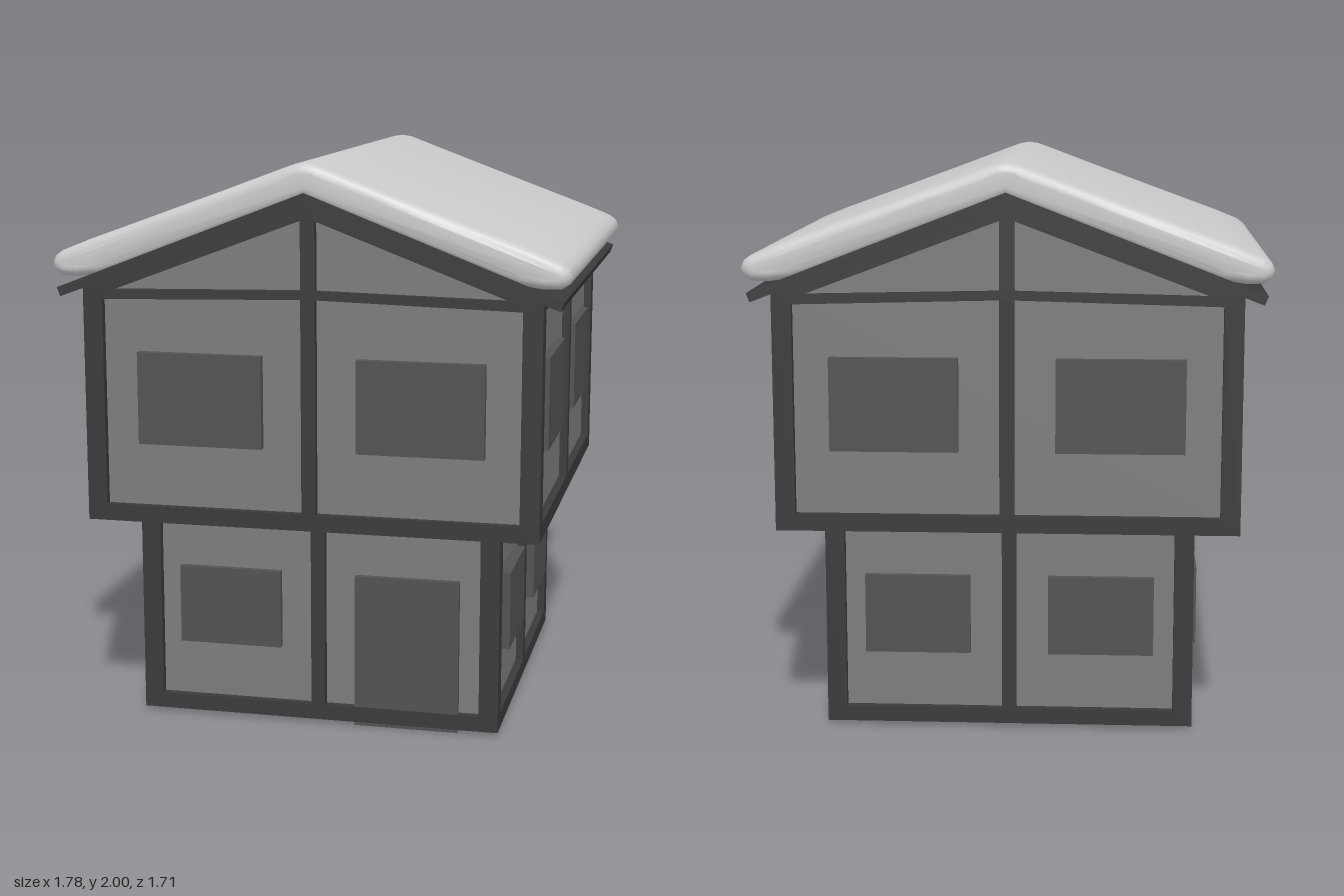
import * as THREE from 'three';
import { toCreasedNormals } from 'three/addons/utils/BufferGeometryUtils.js';

const mat = (color) => new THREE.MeshStandardMaterial({ color });
const SNOW = mat(0xcccccc);
const WALL = mat(0x7c7c7c);
const BEAM = mat(0x3a3a3a);
const PANE = mat(0x525252);

const T = 0.028; // depth of the timber in front of the plaster

function add(parent, name, geometry, material, x = 0, y = 0, z = 0) {
  const mesh = new THREE.Mesh(geometry, material);
  mesh.name = name;
  mesh.position.set(x, y, z);
  parent.add(mesh);
  return mesh;
}

const box = (w, h, d) => new THREE.BoxGeometry(w, h, d);
const vecs = (pts) => pts.map(([x, y]) => new THREE.Vector2(x, y));
const mirror = (pts) => pts.map(([x, y]) => [-x, y]).reverse();
const rect = (x0, x1, y0, y1) => [[x0, y0], [x1, y0], [x1, y1], [x0, y1]];

// Flat plate with holes, from z = 0 to z = depth
function plate(outline, holes, depth) {
  const shape = new THREE.Shape(vecs(outline));
  holes.forEach((h) => shape.holes.push(new THREE.Path(vecs(h))));
  return new THREE.ExtrudeGeometry(shape, { depth, bevelEnabled: false });
}

// One side of a storey: timber frame and its two panes or a pane and a door
function addSide(parent, name, turn, dist, outline, holes, panes) {
  const side = new THREE.Group();
  side.name = name;
  side.rotation.y = turn * Math.PI / 2;
  parent.add(side);
  add(side, 'timberFrame', plate(outline, holes, T), BEAM, 0, 0, dist - T);
  for (const p of panes) {
    const back = dist - T - 0.01;
    const depth = dist + p.out - back;
    add(side, p.name, box(p.w, p.h, depth), PANE, p.x, p.y, back + depth / 2);
  }
}

const SIDES = ['front', 'left', 'back', 'right'];

function lowerStorey() {
  const g = new THREE.Group();
  g.name = 'lowerStorey';
  const hx = 0.645, hz = 0.67, y0 = 0.015, y1 = 0.76;
  add(g, 'plasterWalls', box(2 * (hx - T), y1 - 0.03, 2 * (hz - T)), WALL, 0, (y1 + 0.03) / 2, 0);
  add(g, 'baseFloor', box(2 * (hx - T / 2), 0.03, 2 * (hz - T / 2)), BEAM, 0, y0 + 0.015, 0);
  SIDES.forEach((name, k) => {
    const onSide = k % 2 === 1;
    const half = onSide ? hz - T : hx; // side frames fit between front and back
    const inner = (onSide ? hz : hx) - 0.068;
    const hole = rect(0.025, inner, 0.07, 0.72);
    const out = onSide ? 0.015 : -0.005;
    const panes = [-1, 1].map((s) => ({ name: 'window', x: s * 0.322, y: 0.41, w: 0.37, h: 0.28, out }));
    if (k === 0) panes[1] = { name: 'door', x: 0.317, y: 0.276, w: 0.37, h: 0.548, out };
    addSide(g, name + 'Wall', k, onSide ? hx : hz, rect(-half, half, y0, y1), [hole, mirror(hole)], panes);
  });
  return g;
}

function upperStorey() {
  const g = new THREE.Group();
  g.name = 'upperStorey';
  const hx = 0.795, hz = 0.798, y0 = 0.74, eave = 1.56, ridge = 1.866;
  const gable = (h, b, e) => [[-h, b], [h, b], [h, e], [0, ridge], [-h, e]];
  const core = plate(gable(hx - T, y0 + 0.02, eave + 0.01), [], 2 * (hz - T));
  add(g, 'plasterWalls', core, WALL, 0, 0, -(hz - T));
  add(g, 'overhangFloor', box(2 * (hx - T / 2), 0.04, 2 * (hz - T / 2)), BEAM, 0, y0 + 0.02, 0);
  const gablePanel = [[0.025, 1.57], [0.685, 1.556], [0.025, 1.805]];
  SIDES.forEach((name, k) => {
    const onSide = k % 2 === 1;
    const half = hz - T;
    const hole = [[0.025, 0.798], [0.727, 0.798], [0.727, 1.522], [0.025, onSide ? 1.522 : 1.54]];
    const holes = [hole, mirror(hole)];
    if (!onSide) holes.push(gablePanel, mirror(gablePanel));
    const panes = [-1, 1].map((s) => ({ name: 'window', x: s * 0.385, y: 1.18, w: 0.44, h: 0.322, out: 0.001 }));
    const outline = onSide ? rect(-half, half, y0, eave) : gable(hx, y0, eave);
    addSide(g, name + 'Wall', k, onSide ? hx : hz, outline, holes, panes);
  });
  return g;
}

function roof() {
  const g = new THREE.Group();
  g.name = 'roof';
  // Thin folded roof boards
  const boards = [[0, 1.865], [0.856, 1.535], [0.868, 1.566], [0, 1.902]];
  const outline = [...boards, [-0.868, 1.566], [-0.856, 1.535]];
  add(g, 'roofBoards', plate(outline, [], 1.706), BEAM, 0, 0, -0.853);

  // Snow blanket: rounded at the eaves and at both gable ends
  const half = [
    [0, 1.885], [0.3, 1.772], [0.66, 1.632], [0.72, 1.612], [0.8, 1.602], [0.855, 1.604],
    [0.882, 1.622], [0.89, 1.648], [0.88, 1.672], [0.855, 1.69], [0.76, 1.728], [0.5, 1.823],
    [0.25, 1.915], [0.08, 1.979], [0.035, 1.995], [0, 2],
  ];
  const profile = [...half, ...mirror(half).slice(1, -1)];
  const bevel = 0.034;
  let snow = new THREE.ExtrudeGeometry(new THREE.Shape(vecs(profile)), {
    depth: 1.69 - 2 * bevel, steps: 1, bevelEnabled: true, bevelSegments: 5,
    bevelSize: bevel, bevelThickness: bevel, bevelOffset: -bevel,
  });
  snow.translate(0, 0, -(1.69 - 2 * bevel) / 2);
  // Slightly uneven gable ends
  const p = snow.attributes.position;
  for (let i = 0; i < p.count; i++) {
    const x = p.getX(i), z = p.getZ(i);
    if (Math.abs(z) > 0.8) p.setZ(i, z + 0.005 * Math.sin(x * 23 + z * 2));
  }
  snow = toCreasedNormals(snow, 0.9);
  add(g, 'snowCover', snow, SNOW);
  return g;
}

export function createModel() {
  const model = new THREE.Group();
  model.name = 'snowyTimberHouse';
  model.add(lowerStorey(), upperStorey(), roof());
  return model;
}
